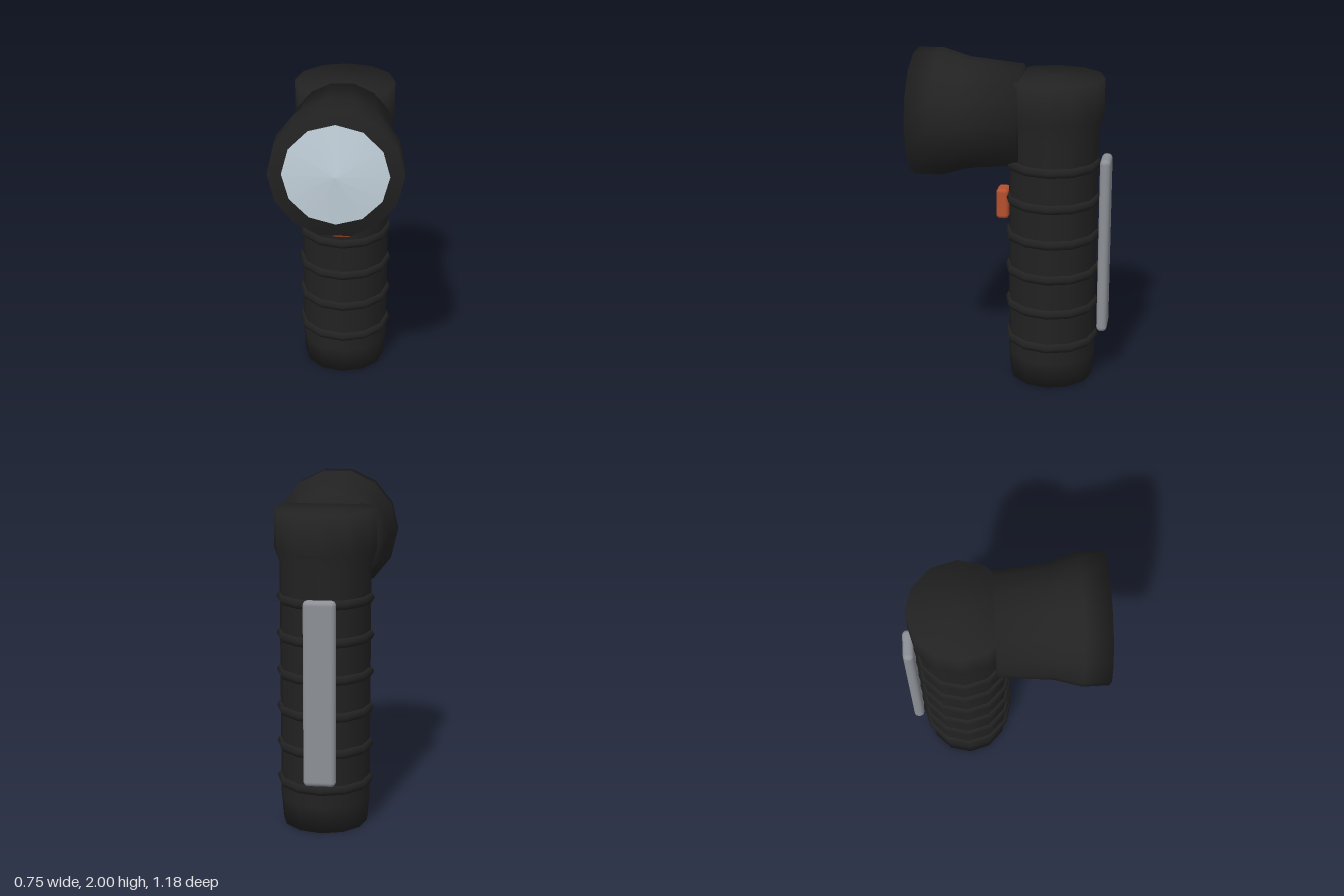
import * as THREE from 'three';
import { RoundedBoxGeometry } from 'three/addons/geometries/RoundedBoxGeometry.js';

export function createModel() {
  const mat = (name, color) => {
    const m = new THREE.MeshStandardMaterial({ color });
    m.name = name;
    return m;
  };
  const black = mat('black rubber', 0x222222);
  const steel = mat('grey steel', 0x8c9096);
  const glass = mat('pale glass', 0xc4d2dc);
  const orange = mat('orange', 0xb5502e);

  const torch = new THREE.Group();
  torch.name = 'angleTorch';
  const add = (name, geometry, material, x, y, z) => {
    const mesh = new THREE.Mesh(geometry, material);
    mesh.name = name;
    mesh.position.set(x, y, z);
    torch.add(mesh);
    return mesh;
  };
  // Closed profile of [radius, height] turned around the y axis
  const lathe = (profile, sides) => new THREE.LatheGeometry(
    profile.map(([r, h]) => new THREE.Vector2(r, h)), sides, Math.PI / 2);

  const bodyZ = -0.25;
  const headY = 1.635;

  // Upright barrel with a tapered foot and a wider collar
  add('body', lathe([
    [0, 0], [0.25, 0], [0.265, 0.16], [0.265, 1.56],
    [0.295, 1.64], [0.295, 1.87], [0, 1.87],
  ], 12), black, 0, 0, bodyZ);

  // Grip rings
  const ring = new THREE.TorusGeometry(0.255, 0.031, 6, 12).rotateX(Math.PI / 2);
  for (let i = 0; i < 6; i++) {
    add('gripRing' + (i + 1), ring, black, 0, 0.265 + i * 0.219, bodyZ);
  }

  // Forward-facing lamp head, flaring toward the front
  add('head', lathe([
    [0, -0.065], [0.297, -0.065], [0.328, 0.25], [0.375, 0.41], [0.375, 0.56], [0, 0.56],
  ], 14).rotateX(Math.PI / 2), black, 0, headY, 0);

  // Shallow conical lens
  add('lens', new THREE.ConeGeometry(0.297, 0.03, 12, 1, true).rotateX(Math.PI / 2),
    glass, 0, headY, 0.576);

  // Switch on the front and belt clip on the back
  add('switch', new RoundedBoxGeometry(0.12, 0.185, 0.075, 2, 0.022), orange, 0, 1.093, 0.048);
  add('beltClip', new RoundedBoxGeometry(0.186, 1.085, 0.063, 3, 0.028), steel, 0, 0.858, -0.562);

  return torch;
}
